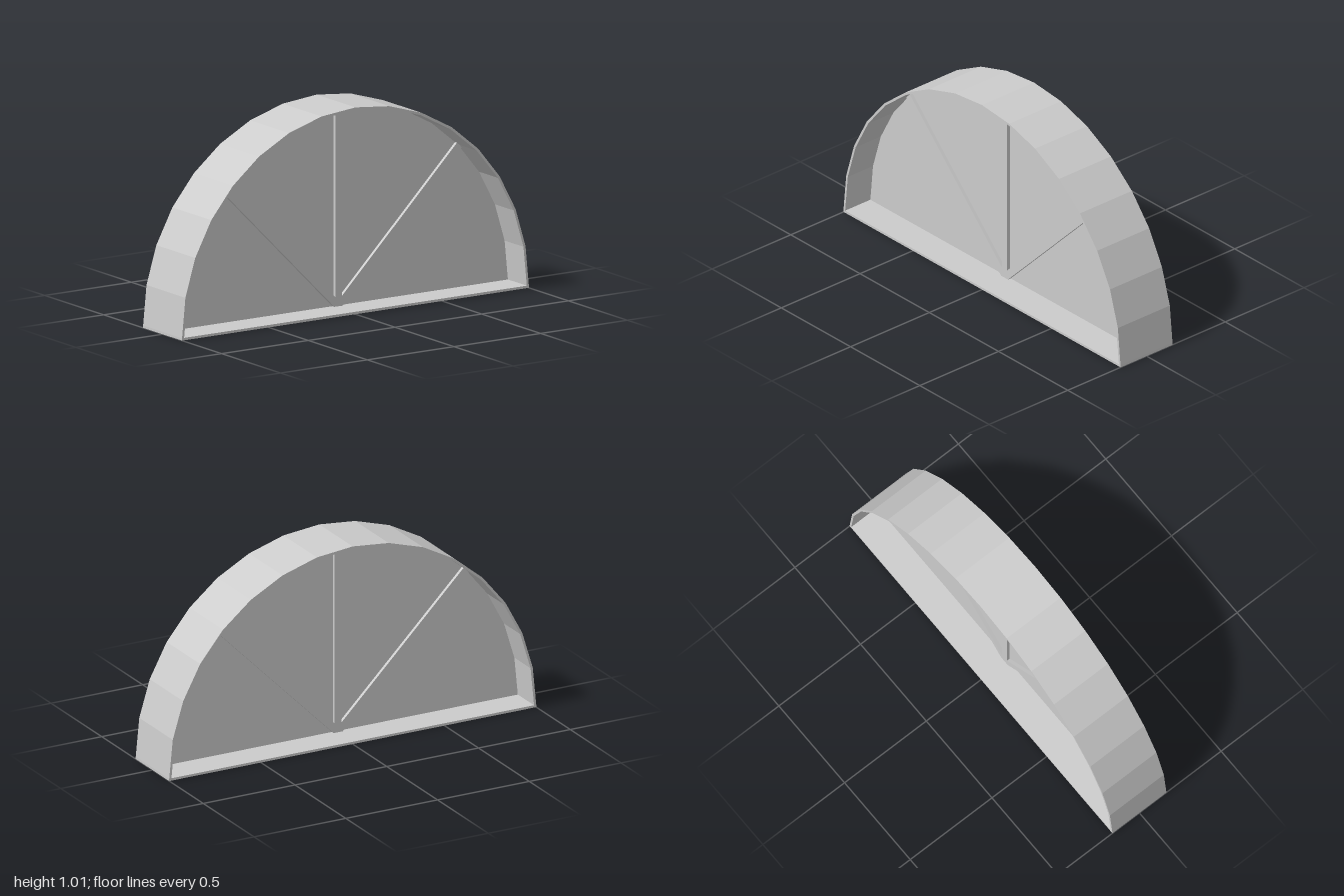
import * as THREE from 'three';

const RADIUS = 1, WALL = 0.012, DEPTH = 0.33;
const SEGMENTS = 16, BAR_WIDTH = 0.038, BAR_DEPTH = 0.044, PANE_DEPTH = 0.01;

// Points of a faceted half circle resting on the sill, from +x to -x
function arcPoints(radius) {
  return Array.from({ length: SEGMENTS + 1 }, (_, i) => {
    const a = (i / SEGMENTS) * Math.PI;
    return new THREE.Vector2(radius * Math.cos(a), WALL + radius * Math.sin(a));
  });
}

// Extrusion centred on z = 0
function extrude(shape, depth) {
  return new THREE.ExtrudeGeometry(shape, { depth, bevelEnabled: false }).translate(0, 0, -depth / 2);
}

export function createModel() {
  const group = new THREE.Group();
  const material = new THREE.MeshStandardMaterial({ color: 0xcccccc, flatShading: true });
  const add = (name, geometry) => {
    const mesh = new THREE.Mesh(geometry, material);
    mesh.name = name;
    group.add(mesh);
    return mesh;
  };

  // Thin arched frame with a flat sill
  const outline = new THREE.Shape([
    new THREE.Vector2(-RADIUS, 0), new THREE.Vector2(RADIUS, 0), ...arcPoints(RADIUS),
  ]);
  const inner = arcPoints(RADIUS - WALL);
  outline.holes.push(new THREE.Path(inner.slice().reverse()));
  add('frame', extrude(outline, DEPTH));

  // Pane filling the opening at mid depth
  add('pane', extrude(new THREE.Shape(inner), PANE_DEPTH));

  // Glazing bars fanning out from the middle of the sill, proud of both pane faces
  const length = RADIUS - WALL;
  const bars = { leftBar: -Math.PI / 4, middleBar: 0, rightBar: Math.PI / 4 };
  for (const [name, angle] of Object.entries(bars)) {
    const geometry = new THREE.BoxGeometry(BAR_WIDTH, length, BAR_DEPTH).translate(0, length / 2, 0);
    const bar = add(name, geometry);
    bar.position.y = WALL + 0.002;
    bar.rotation.z = angle;
  }
  return group;
}
